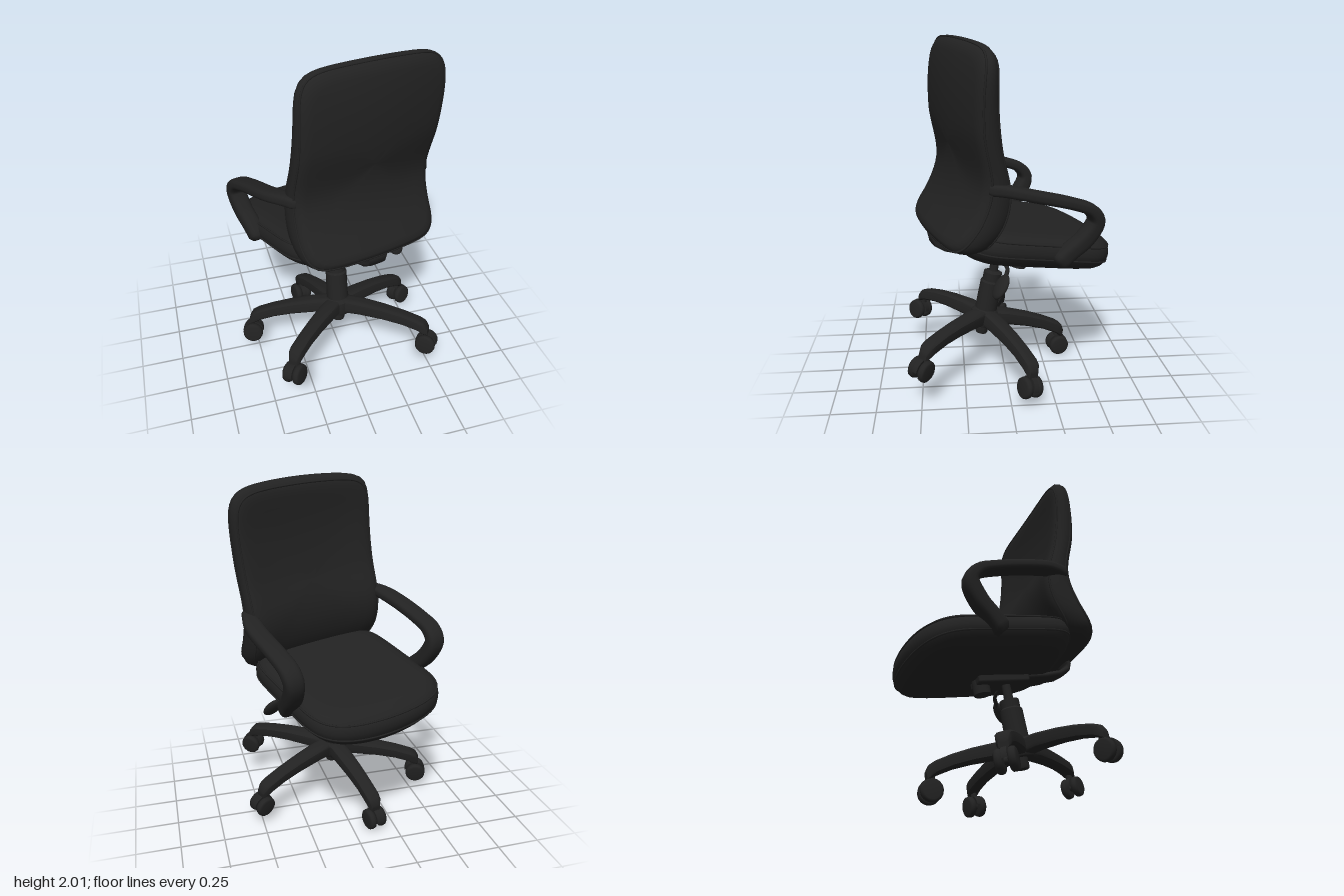
import * as THREE from 'three';
import { toCreasedNormals } from 'three/addons/utils/BufferGeometryUtils.js';
import { RoundedBoxGeometry } from 'three/addons/geometries/RoundedBoxGeometry.js';

const black = new THREE.MeshStandardMaterial({ color: 0x222222 });
black.name = 'matte black';

const V = (x, y, z) => new THREE.Vector3(x, y, z);

function add(parent, name, geometry, x = 0, y = 0, z = 0) {
  const mesh = new THREE.Mesh(geometry, black);
  mesh.name = name;
  mesh.position.set(x, y, z);
  parent.add(mesh);
  return mesh;
}

// Skin over closed rings with capped ends; corner order fixed by signed volume
function loft(rings) {
  const n = rings[0].length, m = rings.length;
  const pts = rings.flat(), index = [];
  for (let i = 0; i < m - 1; i++) {
    for (let j = 0; j < n; j++) {
      const a = i * n + j, b = i * n + (j + 1) % n;
      index.push(a, b, a + n, b, b + n, a + n);
    }
  }
  for (const [r, flip] of [[0, true], [m - 1, false]]) {
    const c = pts.length;
    pts.push(rings[r].reduce((s, p) => s.add(p), V(0, 0, 0)).divideScalar(n));
    for (let j = 0; j < n; j++) {
      const a = r * n + j, b = r * n + (j + 1) % n;
      index.push(c, flip ? b : a, flip ? a : b);
    }
  }
  let volume = 0;
  for (let i = 0; i < index.length; i += 3) {
    const [a, b, c] = [0, 1, 2].map(k => pts[index[i + k]]);
    volume += a.dot(b.clone().cross(c));
  }
  if (volume < 0) index.reverse();
  const g = new THREE.BufferGeometry().setFromPoints(pts);
  g.setIndex(index);
  g.computeVertexNormals();
  return g;
}

// Unit rounded square outline; larger power gives tighter corners
function outline(count, power) {
  return Array.from({ length: count }, (_, i) => {
    const a = (i / count) * Math.PI * 2, c = Math.cos(a), s = Math.sin(a);
    const r = (Math.abs(c) ** power + Math.abs(s) ** power) ** (-1 / power);
    return [c * r, s * r];
  });
}

// Cushion made of [scale, depth] layers of an outline, placed by a rule
function cushion(power, layers, place) {
  const shape = outline(96, power);
  return loft(layers.map(([k, t]) => shape.map(([u, v]) => place(u * k, v * k, t))));
}

function piping(points, radius) {
  return new THREE.TubeGeometry(new THREE.CatmullRomCurve3(points, true), 128, radius, 6, true);
}

const curve = (ys, zs) => {
  const f = new THREE.CubicInterpolant(ys, zs, 1);
  return y => f.evaluate(THREE.MathUtils.clamp(y, ys[0], ys[ys.length - 1]))[0];
};

function buildBase(base) {
  // Hub, column and gas lift
  const profile = [[0, 0.19], [0.033, 0.19], [0.037, 0.2], [0.037, 0.25], [0.075, 0.25], [0.085, 0.27],
    [0.085, 0.335], [0.067, 0.355], [0.065, 0.53], [0.056, 0.54], [0.056, 0.59], [0.027, 0.6], [0.025, 0.73], [0, 0.73]];
  add(base, 'column', toCreasedNormals(
    new THREE.LatheGeometry(profile.map(p => new THREE.Vector2(...p)), 32), 0.6));

  // Curved legs, each ending over a twin-wheel caster
  const stations = [[0.02, 0.304, 0.05, 0.048], [0.15, 0.304, 0.05, 0.044], [0.3, 0.291, 0.045, 0.04],
    [0.42, 0.272, 0.042, 0.037], [0.52, 0.246, 0.042, 0.036], [0.555, 0.228, 0.038, 0.038], [0.577, 0.208, 0.026, 0.026]];
  const section = outline(20, 5);
  const ends = [[-0.13, -0.52], [-0.53, -0.155], [0.5, -0.26], [-0.38, 0.38], [0.455, 0.35]];
  for (const [x, z] of ends) {
    const spoke = new THREE.Group();
    spoke.name = 'leg';
    spoke.rotation.y = Math.atan2(x, z);
    base.add(spoke);
    const reach = Math.hypot(x, z), k = reach / 0.565;
    add(spoke, 'legArm', toCreasedNormals(loft(stations.map(([r, y, w, h]) =>
      section.map(([u, v]) => V(u * w, y + v * h, r * k)))), 0.7));
    const caster = new THREE.Group();
    caster.name = 'caster';
    caster.position.set(0, 0.127, reach);
    spoke.add(caster);
    add(caster, 'casterStem', new THREE.CylinderGeometry(0.018, 0.022, 0.1, 16), 0, 0.07, -0.015);
    add(caster, 'casterAxle', new THREE.CylinderGeometry(0.02, 0.02, 0.1, 16).rotateZ(Math.PI / 2));
    add(caster, 'casterHood', new THREE.CylinderGeometry(0.065, 0.065, 0.03, 24, 1, false, 0, Math.PI)
      .rotateZ(Math.PI / 2));
    for (const side of [-1, 1]) {
      const rim = [[0, -0.022], [0.048, -0.022], [0.059, -0.014], [0.062, 0], [0.059, 0.014], [0.048, 0.022], [0, 0.022]];
      add(caster, 'wheel', new THREE.LatheGeometry(rim.map(p => new THREE.Vector2(...p)), 28)
        .rotateZ(Math.PI / 2), side * 0.034);
    }
  }
}

function buildSeat(top) {
  // Thick seat with a bowed, rounded front and an underside rising to the sides
  const place = (u, v, y) => {
    const bow = v < 0 ? 0.09 * v * v * (1 - u * u) : 0.03 * v * v * (u * u - 1);
    const drop = v < -0.5 ? 0.04 * (v + 0.5) ** 2 : 0;
    const rise = 0.05 * u * u * THREE.MathUtils.clamp((0.86 - y) / 0.12, 0, 1);
    return V(u * 0.438, y - drop + rise, -0.115 + 0.415 * v - bow);
  };
  add(top, 'seatCushion', cushion(6, [[0.03, 0.95], [0.4, 0.953], [0.7, 0.955], [0.83, 0.952], [0.91, 0.94],
    [0.965, 0.918], [0.99, 0.895], [1, 0.868], [0.995, 0.84], [0.975, 0.805], [0.94, 0.772], [0.88, 0.745],
    [0.78, 0.73], [0.5, 0.724], [0.03, 0.724]], place));
  for (const [k, y] of [[0.968, 0.918], [0.985, 0.82]]) {
    add(top, 'seatPiping', piping(outline(64, 6).map(([u, v]) => place(u * k, v * k, y)), 0.006));
  }
}

function buildBackrest(top) {
  // Lumbar-curved back wrapping slightly forward at the sides
  const front = curve([0.8, 0.89, 1.03, 1.18, 1.41, 1.65, 1.85, 1.92], [0.26, 0.22, 0.17, 0.175, 0.275, 0.35, 0.38, 0.385]);
  const rear = curve([0.8, 0.9, 1.02, 1.2, 1.49, 1.79, 1.92], [0.45, 0.41, 0.36, 0.335, 0.435, 0.475, 0.455]);
  const place = (u, v, t) => {
    const y = 1.35 + 0.54 * v;
    const x = u * (0.452 + 0.012 * v * v + 0.008 * v);
    const z = THREE.MathUtils.lerp(front(y), rear(y), t) + (0.025 + 0.025 * t) * (1 - u * u);
    return V(x, y + (v > 0 ? 0.025 * v * (1 - u * u) : 0), z);
  };
  add(top, 'backrest', cushion(8, [[0.02, 0.06], [0.2, 0.06], [0.4, 0.05], [0.6, 0.03], [0.75, 0], [0.85, 0],
    [0.91, 0.03], [0.95, 0.1], [0.98, 0.22], [1, 0.42], [1, 0.6], [0.985, 0.78], [0.96, 0.9], [0.92, 0.97],
    [0.86, 1], [0.7, 1], [0.5, 1], [0.25, 1], [0.02, 1]], place));
  for (const [k, t] of [[0.953, 0.11], [0.982, 0.8]]) {
    add(top, 'backPiping', piping(outline(96, 8).map(([u, v]) => place(u * k, v * k, t)), 0.006));
  }
}

function buildArm(top, side) {
  // Looped armrest: flat pad on top, turning down and in to the seat side
  const path = new THREE.CatmullRomCurve3([V(0.42, 1.2, 0.32), V(0.45, 1.207, 0.22), V(0.473, 1.2, 0.08),
    V(0.479, 1.18, -0.16), V(0.479, 1.155, -0.27), V(0.475, 1.1, -0.32), V(0.46, 0.985, -0.285),
    V(0.443, 0.9, -0.22), V(0.428, 0.82, -0.165)]);
  const shape = outline(24, 3.5), rings = [];
  for (let i = 0; i <= 48; i++) {
    const t = i / 48, p = path.getPointAt(t), d = path.getTangentAt(t);
    const n = V(0, d.z, -d.y).normalize();
    const end = i === 0 || i === 48 ? 0.7 : 1;
    const { smoothstep } = THREE.MathUtils;
    const wide = end * (0.036 + 0.019 * smoothstep(t, 0, 0.2) - 0.004 * smoothstep(t, 0.6, 0.9));
    const thick = end * (0.031 + 0.017 * smoothstep(t, 0.5, 0.8));
    rings.push(shape.map(([u, v]) => V(side * (p.x + u * wide), p.y + n.y * v * thick, p.z + n.z * v * thick)));
  }
  add(top, side > 0 ? 'leftArmrest' : 'rightArmrest', loft(rings));
}

function buildMechanism(top) {
  // Tilt housing, tension knob, back bracket and height lever
  add(top, 'tiltHousing', new RoundedBoxGeometry(0.15, 0.06, 0.32, 2, 0.015), 0, 0.715, -0.03);
  add(top, 'tensionKnob', new THREE.CylinderGeometry(0.05, 0.05, 0.1, 24), 0.01, 0.69, -0.15);
  const bar = [[0.05, 0.725], [0.25, 0.728], [0.35, 0.74], [0.41, 0.765], [0.425, 0.8], [0.41, 0.85]];
  const section = outline(16, 6);
  add(top, 'backBracket', loft(bar.map(([z, y], i) => {
    const [p, q] = [bar[Math.max(0, i - 1)], bar[Math.min(bar.length - 1, i + 1)]];
    const len = Math.hypot(q[0] - p[0], q[1] - p[1]);
    const nz = -(q[1] - p[1]) / len, ny = (q[0] - p[0]) / len;
    return section.map(([u, v]) => V(u * 0.06, y + ny * v * 0.016, z + nz * v * 0.016));
  })));
  add(top, 'heightLever', new THREE.TubeGeometry(new THREE.CatmullRomCurve3([V(0.02, 0.72, 0.03),
    V(0.22, 0.725, 0.04), V(0.3, 0.715, 0.06), V(0.35, 0.66, 0.1)]), 24, 0.012, 8));
  const paddle = add(top, 'leverPaddle', new THREE.SphereGeometry(1, 24, 16), 0.36, 0.645, 0.11);
  paddle.scale.set(0.058, 0.075, 0.024);
  paddle.rotation.set(-0.45, 0, 0.3);
}

export function createModel() {
  const model = new THREE.Group();
  model.name = 'officeChair';
  // The whole chair leans forward, and its seat is swivelled on the base
  const lean = new THREE.Group();
  lean.name = 'leaningChair';
  lean.rotation.x = -0.19;
  model.add(lean);
  const base = new THREE.Group();
  base.name = 'base';
  base.position.z = 0.18;
  const top = new THREE.Group();
  top.name = 'swivelSeat';
  top.position.set(0.01, 0, 0.18);
  top.rotation.y = 0.31;
  lean.add(base, top);
  buildBase(base);
  buildSeat(top);
  buildBackrest(top);
  buildArm(top, 1);
  buildArm(top, -1);
  buildMechanism(top);
  return model;
}
